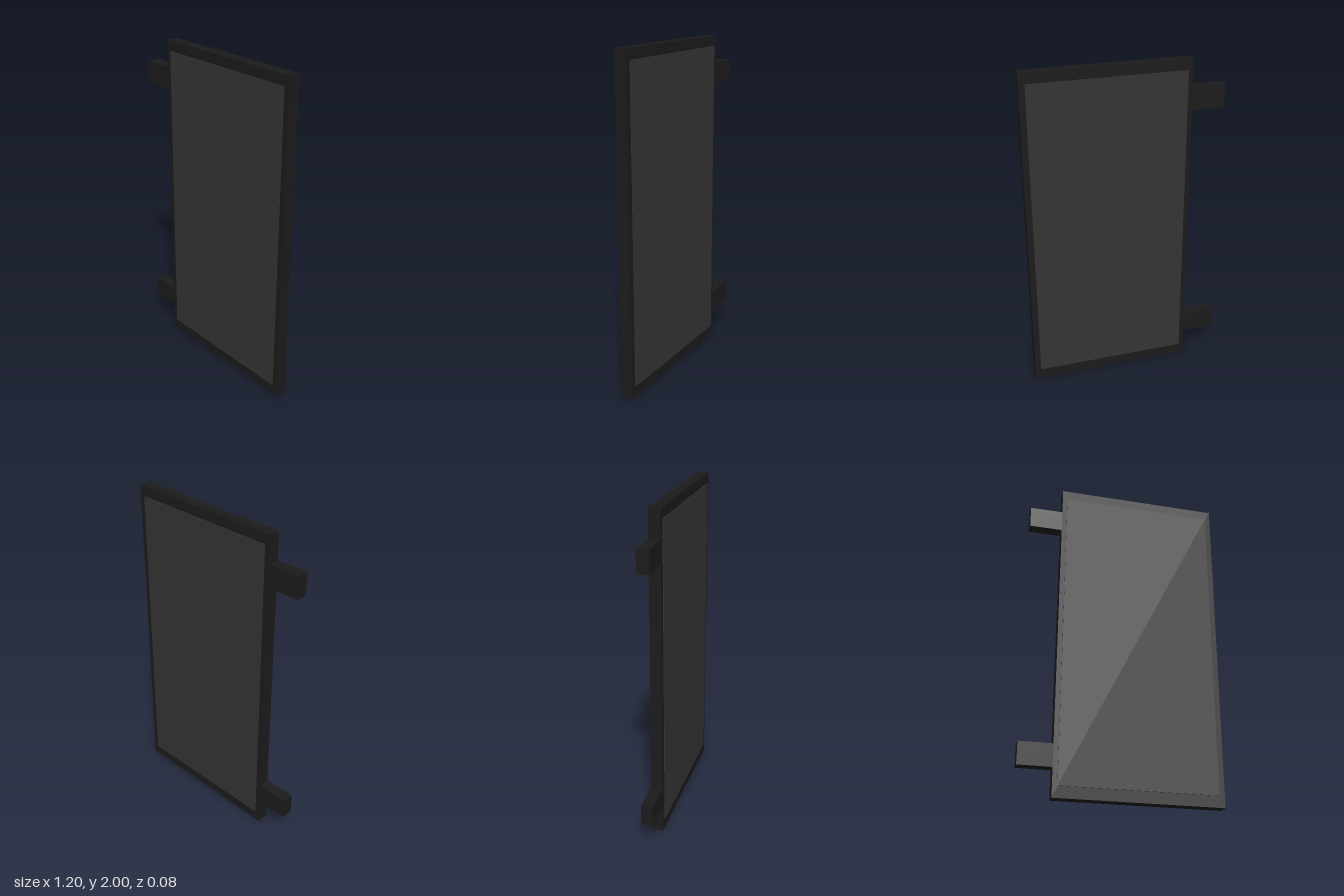
import * as THREE from 'three';

export function createModel() {
  const model = new THREE.Group();
  const dark = new THREE.MeshStandardMaterial({ color: 0x1b1b1b });
  const grey = new THREE.MeshStandardMaterial({ color: 0x343434 });

  // Box given by its x, y and z limits
  function addBox(name, [x0, x1], [y0, y1], [z0, z1], material) {
    const mesh = new THREE.Mesh(new THREE.BoxGeometry(x1 - x0, y1 - y0, z1 - z0), material);
    mesh.position.set((x0 + x1) / 2, (y0 + y1) / 2, (z0 + z1) / 2);
    mesh.name = name;
    model.add(mesh);
  }

  // Frame slab
  addBox('frame', [-0.4, 0.6], [0, 2], [-0.035, 0.035], dark);

  // Raised panels, one on each face; they start inside the slab
  addBox('frontPanel', [-0.37, 0.565], [0.068, 1.938], [0, 0.04], grey);
  addBox('backPanel', [-0.37, 0.565], [0.068, 1.938], [-0.04, 0], grey);

  // Mounting arms on the right edge
  addBox('upperArm', [-0.6, -0.4], [1.702, 1.836], [-0.035, 0.035], dark);
  addBox('lowerArm', [-0.6, -0.4], [0.17, 0.304], [-0.035, 0.035], dark);

  return model;
}
